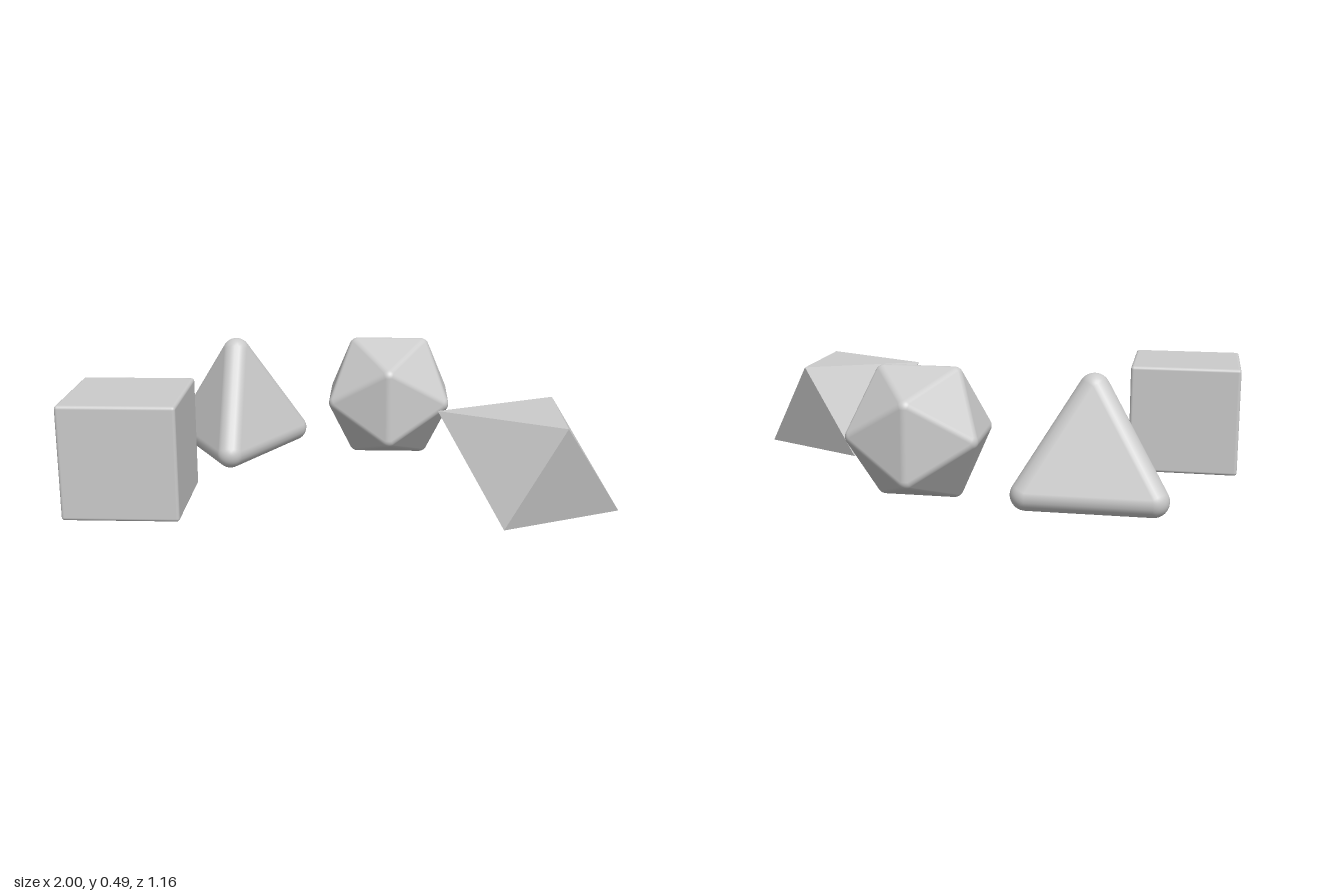
import * as THREE from 'three';
import { ConvexGeometry } from 'three/addons/geometries/ConvexGeometry.js';
import { RoundedBoxGeometry } from 'three/addons/geometries/RoundedBoxGeometry.js';

const V = (x, y, z) => new THREE.Vector3(x, y, z);

// Rounds a triangle-faced regular solid: every corner gets a ball patch of radius r,
// spanned between the normals of neighbouring faces, and the hull joins the patches.
function roundedSolid(core, r, steps) {
  const pos = core.getAttribute('position');
  const corners = [], faces = [];
  const cornerOf = p => {
    let i = corners.findIndex(c => c.distanceTo(p) < 1e-4);
    if (i < 0) i = corners.push(p) - 1;
    return i;
  };
  for (let i = 0; i < pos.count; i += 3) {
    const p = [0, 1, 2].map(k => V().fromBufferAttribute(pos, i + k));
    const normal = new THREE.Triangle(...p).getNormal(V());
    faces.push({ ids: p.map(cornerOf), normal });
  }

  const points = new Map();
  const add = (corner, dir) => {
    const p = corner.clone().addScaledVector(dir.normalize(), r);
    points.set(p.toArray().map(n => Math.round(n * 1e5)).join(), p);
  };
  faces.forEach((f, i) => faces.slice(i + 1).forEach(g => {
    const shared = f.ids.filter(id => g.ids.includes(id));
    if (shared.length !== 2) return;
    for (const id of shared) {
      const out = corners[id].clone().normalize();
      for (let a = 0; a <= steps; a++) {
        for (let b = 0; b <= steps - a; b++) {
          add(corners[id], V(0, 0, 0)
            .addScaledVector(out, a)
            .addScaledVector(f.normal, b)
            .addScaledVector(g.normal, steps - a - b));
        }
      }
    }
  }));

  // Smooth normals point away from the nearest core corner
  const geometry = new ConvexGeometry([...points.values()]);
  const hp = geometry.getAttribute('position'), hn = geometry.getAttribute('normal');
  const p = V();
  for (let i = 0; i < hp.count; i++) {
    p.fromBufferAttribute(hp, i);
    const near = corners.reduce((m, c) => c.distanceTo(p) < m.distanceTo(p) ? c : m);
    p.sub(near).normalize();
    hn.setXYZ(i, p.x, p.y, p.z);
  }
  return geometry;
}

export function createModel() {
  const model = new THREE.Group();
  model.name = 'geometricSolids';
  const material = new THREE.MeshStandardMaterial({ color: 0xcccccc });
  const add = (name, geometry, x, y, z) => {
    const mesh = new THREE.Mesh(geometry, material);
    mesh.name = name;
    mesh.position.set(x, y, z);
    model.add(mesh);
  };

  // Cube with a fine edge rounding
  add('cube', new RoundedBoxGeometry(0.423, 0.423, 0.423, 3, 0.012), -0.788, 0.216, 0.336);

  // Tetrahedron with soft edges, one corner towards the front
  const edge = 0.446, rim = edge / Math.sqrt(3), h = edge * Math.sqrt(2 / 3);
  const tetra = new ConvexGeometry([
    V(0, h * 0.75, 0), V(0, -h / 4, rim),
    V(edge / 2, -h / 4, -rim / 2), V(-edge / 2, -h / 4, -rim / 2),
  ]);
  add('tetrahedron', roundedSolid(tetra, 0.057, 8), -0.477, 0.061 + h / 4, -0.336);

  // Icosahedron standing on an edge
  const r = 0.035, half = 0.244, t = (1 + Math.sqrt(5)) / 2;
  const circumradius = (half - r) * Math.sqrt(1 + 1 / (t * t));
  const icosa = new THREE.IcosahedronGeometry(circumradius, 0);
  add('icosahedron', roundedSolid(icosa, r, 5), 0.16, half, -0.336);

  // Stretched octahedron lying on one of its faces
  const octa = [V(-0.3325, 0.185, 0), V(0.3325, -0.185, 0)];
  for (const s of [-1, 1]) {
    for (const z of [-0.212, 0.212]) octa.push(V(s * 0.1025, s * 0.185, z));
  }
  add('octahedron', new ConvexGeometry(octa), 0.6675, 0.188, 0.367);

  return model;
}
